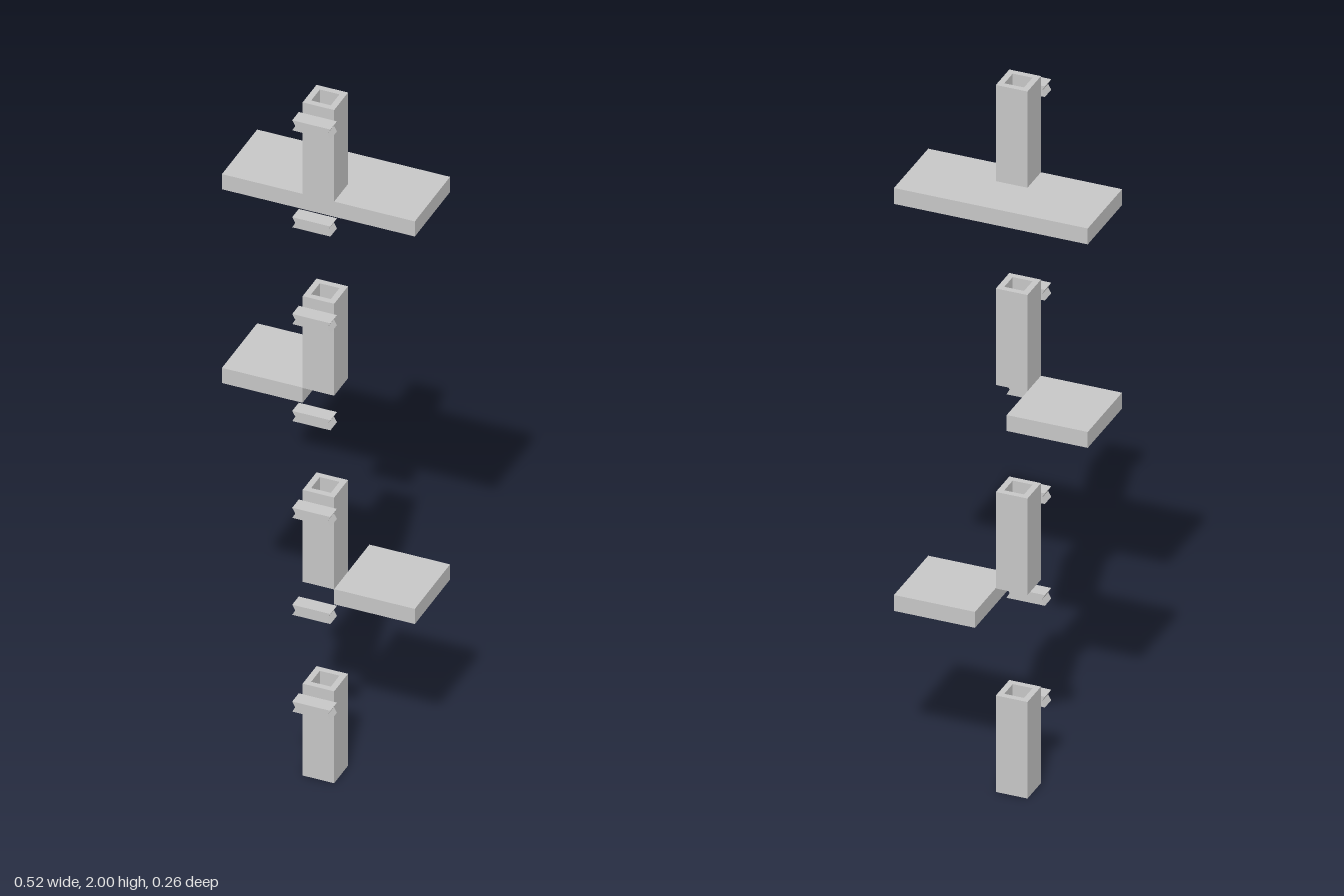
import * as THREE from 'three';

const grey = new THREE.MeshStandardMaterial({ color: 0xc8c8c8 });
grey.name = 'light grey';

function addPart(group, name, geometry, x, y, z) {
  const mesh = new THREE.Mesh(geometry, grey);
  mesh.name = name;
  mesh.position.set(x, y, z);
  group.add(mesh);
}

// Square outline centred on the origin
function square(PathType, half) {
  const path = new PathType();
  path.moveTo(-half, -half);
  path.lineTo(half, -half);
  path.lineTo(half, half);
  path.lineTo(-half, half);
  path.closePath();
  return path;
}

// Hollow square post standing on its base
function postGeometry(height) {
  const shape = square(THREE.Shape, 0.0425);
  shape.holes.push(square(THREE.Path, 0.0265));
  const geometry = new THREE.ExtrudeGeometry(shape, { depth: height, bevelEnabled: false });
  return geometry.rotateX(-Math.PI / 2);
}

// Small clip block with its two ends notched at mid height
function clipGeometry() {
  let geometry = new THREE.BoxGeometry(0.103, 0.03, 0.04, 1, 2, 1);
  const p = geometry.attributes.position;
  for (let i = 0; i < p.count; i++) {
    if (Math.abs(p.getY(i)) < 0.001) p.setX(i, p.getX(i) * 0.84);
  }
  geometry = geometry.toNonIndexed();
  geometry.computeVertexNormals();
  return geometry;
}

export function createModel() {
  const model = new THREE.Group();
  model.name = 'shelfPostSet';

  const pitch = 0.5757;
  const postHeight = 0.273;
  const slabThickness = 0.045;
  const post = postGeometry(postHeight);
  const clip = clipGeometry();

  // Shelf extent in x for each level, from the bottom up
  const shelves = [null, [0.0425, 0.26], [-0.26, -0.0425], [-0.26, 0.26]];

  shelves.forEach((span, i) => {
    const level = new THREE.Group();
    level.name = `level${i + 1}`;
    level.position.y = i * pitch;
    model.add(level);

    addPart(level, 'post', post, 0, 0, 0.0432);
    addPart(level, 'upperClip', clip, 0, 0.229, 0.109);

    if (span) {
      const [x0, x1] = span;
      const shelf = new THREE.BoxGeometry(x1 - x0, slabThickness, 0.2157);
      addPart(level, 'shelf', shelf, (x0 + x1) / 2, 0.001 - slabThickness / 2, -0.02215);
      addPart(level, 'lowerClip', clip, 0, -0.059, 0.109);
    }
  });

  return model;
}
